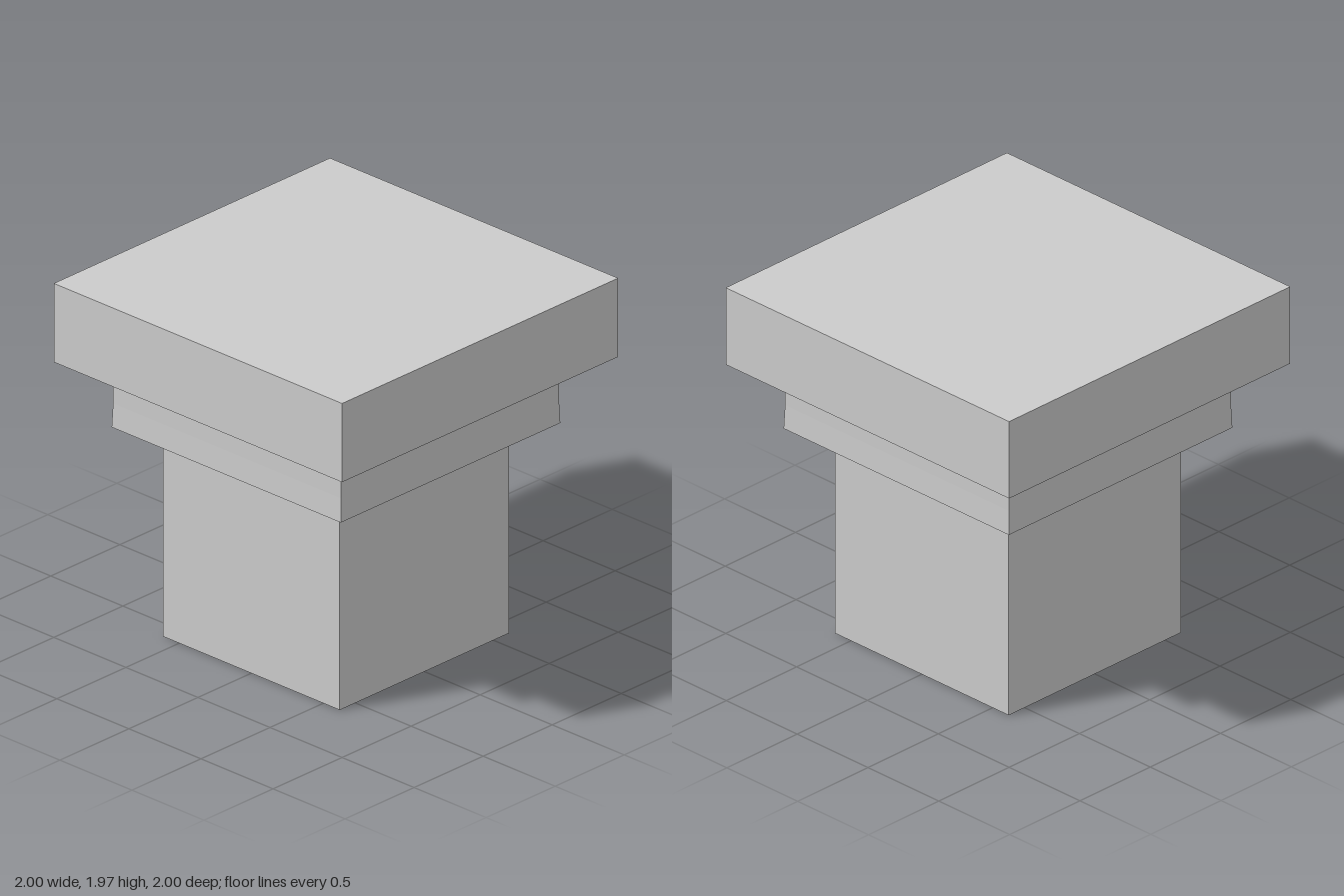
import * as THREE from 'three';

const material = new THREE.MeshStandardMaterial({ color: 0xcccccc, flatShading: true });

// Square stack of sections: profile rows are [half width, height], bottom to top
function squareBody(name, profile) {
  const points = profile.map(([half, y]) => new THREE.Vector2(half * Math.SQRT2, y));
  const mesh = new THREE.Mesh(new THREE.LatheGeometry(points, 4, Math.PI / 4), material);
  mesh.name = name;
  return mesh;
}

export function createModel() {
  const group = new THREE.Group();
  group.name = 'squarePedestal';

  // Square shaft with closed base
  group.add(squareBody('shaft', [[0, 0], [0.613, 0], [0.613, 1.155]]));

  // Middle step, underside dipping slightly towards the shaft
  group.add(squareBody('middleStep', [[0.613, 1.155], [0.635, 1.158], [0.795, 1.167], [0.79, 1.3], [0.79, 1.52]]));

  // Wide top slab with the same sloped underside
  group.add(squareBody('topSlab', [[0.79, 1.52], [0.812, 1.523], [1, 1.532], [1, 1.97], [0, 1.97]]));

  return group;
}
